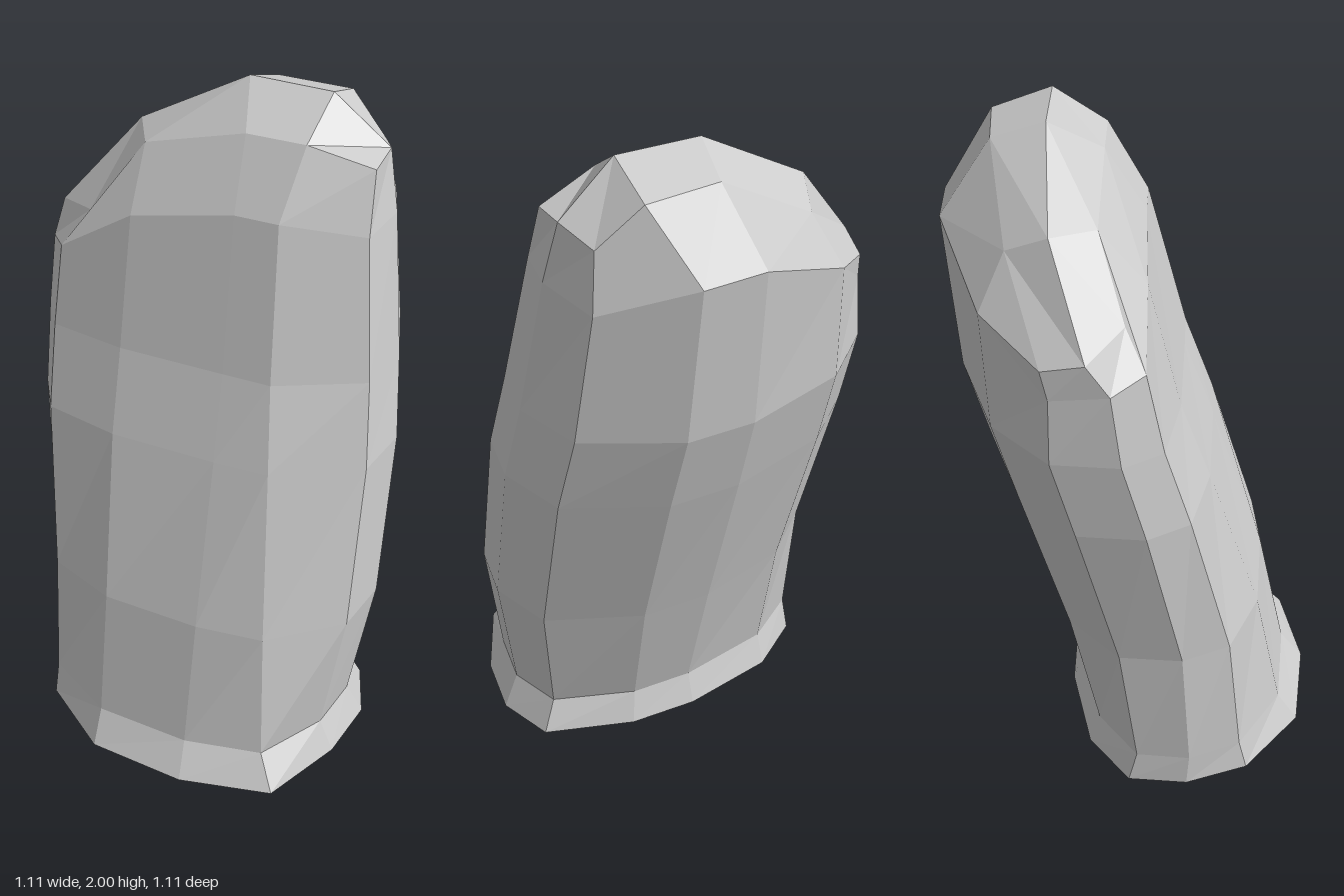
import * as THREE from 'three';

const { lerp } = THREE.MathUtils;

// Twelve columns: five along the front (left to right in x), right side, five along the back, left side.
// Each has x as a share of the half width, then its depth share (0 back, 1 front) at the foot and higher up.
const columns = [
  [-0.88, 0.69, 0.84], [-0.46, 0.93, 0.93], [0.14, 1, 0.98], [0.68, 0.95, 1], [0.92, 0.64, 0.84],
  [1, 0.38, 0.57],
  [0.9, 0.15, 0.24], [0.4, 0.02, 0.01], [0, 0, 0], [-0.6, 0.06, 0.13], [-0.95, 0.21, 0.37],
  [-1, 0.44, 0.66],
];

// Height, blend from foot to upper outline, left and right extent, front and back z
const levels = [
  [0, 0, 0.5, 0.53, 0.55, -0.22],
  [0.1, 0.15, 0.495, 0.48, 0.48, -0.19],
  [0.5, 0.6, 0.495, 0.545, 0.4, -0.3],
  [1, 0.9, 0.55, 0.55, 0.24, -0.45],
  [1.25, 1, 0.555, 0.525, 0.15, -0.52],
  [1.7, 1, 0.54, 0.475, 0.035, -0.55],
];

// Sloping edge of the crown, in column order
const rim = [
  [-0.4, 1.6, -0.06], [-0.25, 1.81, -0.125], [0.06, 1.9, -0.095], [0.24, 1.9, -0.08], [0.43, 1.84, -0.115],
  [0.44, 1.85, -0.24],
  [0.4, 1.81, -0.36], [0.28, 1.93, -0.41], [0.055, 1.94, -0.41], [-0.26, 1.76, -0.375], [-0.5, 1.53, -0.29],
  [-0.53, 1.56, -0.17],
];

// Crest between the two side corners of the rim
const ridge = [[-0.31, 1.82, -0.257], [0.02, 2, -0.255], [0.27, 1.995, -0.235]];

function section([y, blend, left, right, front, back]) {
  return columns.map(([share, foot, upper], i) => {
    // The front right edge swings inwards as it rises
    const s = i === 3 ? share - 0.26 * blend : share;
    return [s * (s < 0 ? left : right), y, lerp(back, front, lerp(foot, upper, blend))];
  });
}

// Pushes a four-cornered facet, corners counter-clockwise from outside.
function quad(out, a, b, c, d) {
  out.push(...a, ...b, ...c, ...a, ...c, ...d);
}

function stoneGeometry() {
  const out = [];
  const n = columns.length;
  const rings = levels.map(section);

  // The shoulder follows the slope of the rim and the backward lean
  rings[5].forEach((p, i) => {
    p[1] = lerp(1.25, rim[i][1], 0.7);
    p[2] += (1.7 - p[1]) * 0.25;
  });
  rings.push(rim);

  // Side walls
  for (let k = 0; k < rings.length - 1; k++) {
    for (let i = 0; i < n; i++) {
      const j = (i + 1) % n;
      quad(out, rings[k][i], rings[k][j], rings[k + 1][j], rings[k + 1][i]);
    }
  }

  // Crown: front edge, crest and back edge joined by facets
  const middle = [rim[11], ...ridge, rim[5]];
  for (let i = 0; i < 4; i++) {
    quad(out, rim[i], rim[i + 1], middle[i + 1], middle[i]);
    quad(out, middle[i], middle[i + 1], rim[9 - i], rim[10 - i]);
  }

  // Flat underside
  const base = rings[0];
  for (let i = 1; i < n - 1; i++) out.push(...base[0], ...base[i + 1], ...base[i]);

  const geo = new THREE.BufferGeometry();
  geo.setAttribute('position', new THREE.Float32BufferAttribute(out, 3));
  geo.computeVertexNormals();
  return geo;
}

export function createModel() {
  const group = new THREE.Group();
  group.name = 'leaningStone';
  const stone = new THREE.Mesh(
    stoneGeometry(),
    new THREE.MeshStandardMaterial({ color: 0xcccccc, flatShading: true }),
  );
  stone.name = 'stoneBody';
  group.add(stone);
  return group;
}
